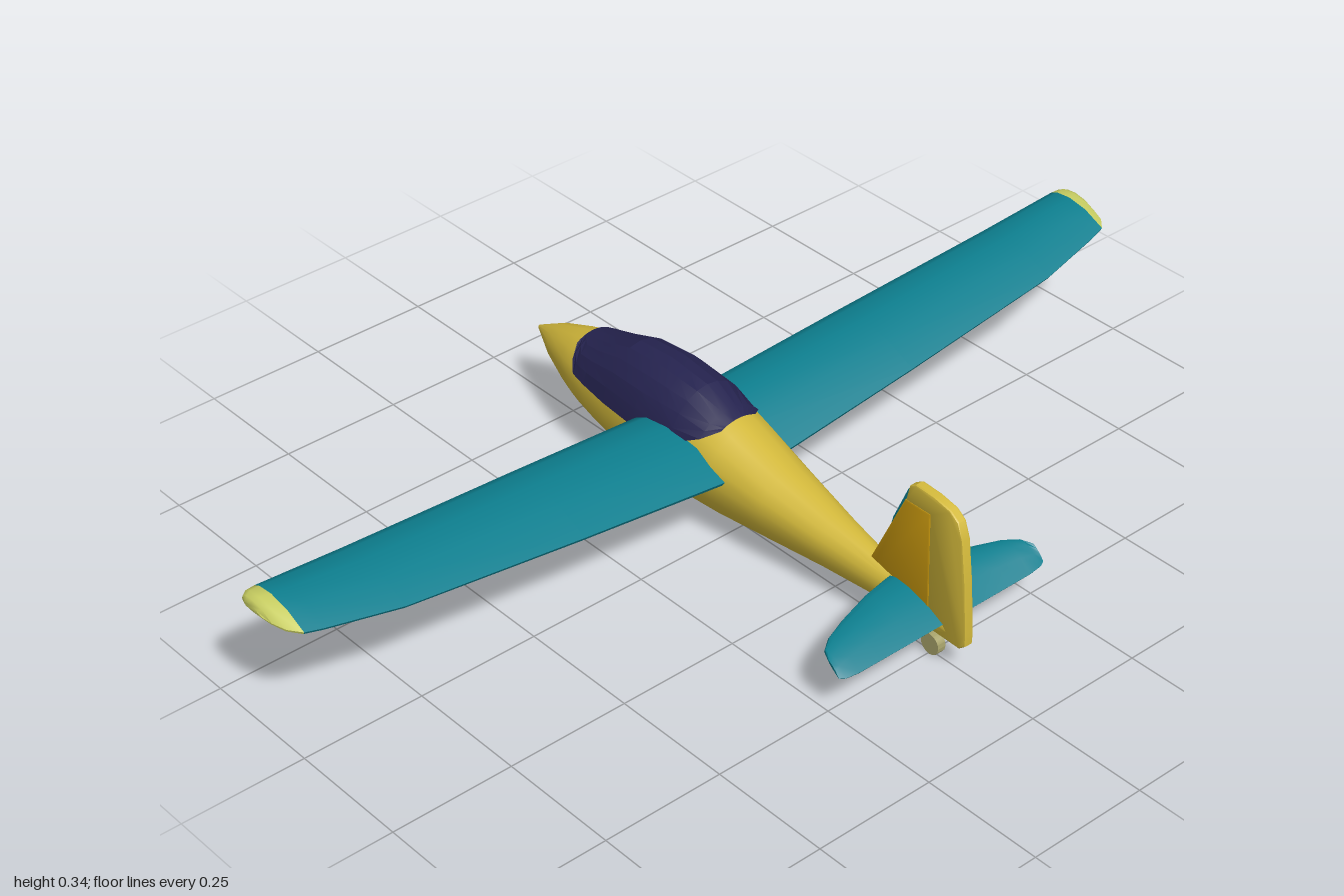
import * as THREE from 'three';
import { toCreasedNormals } from 'three/addons/utils/BufferGeometryUtils.js';

const mat = (name, color, side = THREE.FrontSide) => {
  const m = new THREE.MeshStandardMaterial({ color, side });
  m.name = name;
  return m;
};

// Skin a list of rings (arrays of [x, y, z]); closed rings get end caps
function loft(rings, closed = true, crease = 0.6) {
  const n = rings[0].length, pos = rings.flat(2), idx = [];
  for (let i = 0; i < rings.length - 1; i++) {
    for (let j = 0; j < (closed ? n : n - 1); j++) {
      const k = (j + 1) % n, a = i * n + j, b = i * n + k;
      idx.push(a, a + n, b, b, a + n, b + n);
    }
  }
  if (closed) {
    for (const r of [0, rings.length - 1]) {
      const c = pos.length / 3;
      for (let d = 0; d < 3; d++) pos.push(rings[r].reduce((s, p) => s + p[d], 0) / n);
      for (let j = 0; j < n; j++) {
        const a = r * n + j, b = r * n + (j + 1) % n;
        idx.push(c, ...(r === 0 ? [a, b] : [b, a]));
      }
    }
  }
  const g = new THREE.BufferGeometry();
  g.setAttribute('position', new THREE.Float32BufferAttribute(pos, 3));
  g.setIndex(idx);
  return toCreasedNormals(g, crease);
}

// Fuselage stations: x, bottom, widest height, top, half width
const BODY = [
  [-0.595, 0.146, 0.15, 0.154, 0.004],
  [-0.53, 0.108, 0.15, 0.187, 0.036],
  [-0.46, 0.074, 0.15, 0.211, 0.06],
  [-0.42, 0.064, 0.149, 0.222, 0.072],
  [-0.36, 0.053, 0.147, 0.238, 0.084],
  [-0.29, 0.042, 0.145, 0.264, 0.093],
  [-0.2, 0.029, 0.143, 0.272, 0.099],
  [-0.1, 0.024, 0.141, 0.262, 0.097],
  [0, 0.026, 0.138, 0.224, 0.088],
  [0.12, 0.034, 0.127, 0.186, 0.069],
  [0.25, 0.044, 0.112, 0.156, 0.048],
  [0.38, 0.05, 0.096, 0.13, 0.029],
  [0.5, 0.054, 0.08, 0.105, 0.015],
  [0.575, 0.056, 0.07, 0.085, 0.007],
];

function lerpTable(table, x) {
  let i = 0;
  while (i < table.length - 2 && x > table[i + 1][0]) i++;
  const t = (x - table[i][0]) / (table[i + 1][0] - table[i][0]);
  return table[i].map((v, k) => v + (table[i + 1][k] - v) * t);
}

function bodyPoint(x, angle, grow = 0) {
  const [, bottom, mid, top, w] = lerpTable(BODY, x);
  const s = Math.sin(angle);
  return [x, mid + s * (s > 0 ? top - mid + grow : mid - bottom + grow), Math.cos(angle) * (w + grow)];
}

// Canopy lower edge: x, y
const SILL = [[-0.43, 0.208], [-0.4, 0.171], [-0.2, 0.168], [-0.1, 0.178], [-0.04, 0.205], [-0.015, 0.22]];

function canopyRing(x) {
  const [, , mid, top] = lerpTable(BODY, x);
  const start = Math.asin(Math.min(0.98, (lerpTable(SILL, x)[1] - mid) / (top - mid)));
  const ring = [];
  for (let j = 0; j <= 10; j++) ring.push(bodyPoint(x, start + (Math.PI - 2 * start) * j / 10, 0.004));
  return ring;
}

// Aerofoil outline, from nose over the top to the tail and back underneath
const FOIL = [[0, 0.45], [0.04, 0.72], [0.15, 0.92], [0.38, 1], [0.68, 0.8], [1, 0.25],
  [0.98, 0.12], [0.68, 0.04], [0.35, 0], [0.1, 0.12], [0.02, 0.28]];

// Stations: z, leading x, trailing x, bottom y, thickness; drop lowers the tail edge
function wingGeometry(stations, side, drop) {
  const rings = stations.map(([z, lead, trail, y, t]) =>
    FOIL.map(([u, v]) => [lead + (trail - lead) * u, y + v * t - drop * u, z * side]));
  return loft(side > 0 ? rings : rings.reverse(), true, 0.7);
}

const WING = [[0.04, -0.206, 0.037, 0.134, 0.066], [0.4, -0.192, 0.03, 0.172, 0.056],
  [0.78, -0.174, 0.016, 0.212, 0.045], [0.93, -0.167, -0.01, 0.229, 0.041], [0.965, -0.165, -0.018, 0.234, 0.039]];
const TIP = [[0.965, -0.165, -0.018, 0.234, 0.039], [0.985, -0.162, -0.04, 0.238, 0.034],
  [0.995, -0.154, -0.068, 0.243, 0.024], [1, -0.14, -0.09, 0.249, 0.01]];
const TAIL = [[0, 0.395, 0.535, 0.1, 0.028], [0.08, 0.41, 0.535, 0.1, 0.027], [0.16, 0.435, 0.535, 0.101, 0.025],
  [0.21, 0.455, 0.535, 0.102, 0.022], [0.238, 0.475, 0.532, 0.104, 0.017], [0.25, 0.498, 0.526, 0.108, 0.007]];

// Upright plate with softened edges
function plate(points, thick) {
  const shape = new THREE.Shape(points.map(p => new THREE.Vector2(...p)));
  const bevel = 0.004;
  const g = new THREE.ExtrudeGeometry(shape, {
    depth: thick - 2 * bevel, bevelThickness: bevel, bevelSize: bevel, bevelOffset: -bevel, bevelSegments: 2,
  });
  g.translate(0, 0, bevel - thick / 2);
  return toCreasedNormals(g, 0.6);
}

export function createModel() {
  const yellow = mat('body yellow', 0xd3b93b);
  const amber = mat('fin amber', 0xc8980f);
  const teal = mat('wing teal', 0x0d7f8f);
  const navy = mat('canopy navy', 0x25234f, THREE.DoubleSide);
  const lime = mat('wing tip pale yellow', 0xc9cf62);
  const beige = mat('wheel beige', 0xa9a46c);

  const model = new THREE.Group();
  model.name = 'glider';
  const add = (name, geometry, material, parent = model) => {
    const m = new THREE.Mesh(geometry, material);
    m.name = name;
    parent.add(m);
    return m;
  };

  // Fuselage and canopy
  add('fuselage', loft(BODY.map(([x]) =>
    Array.from({ length: 16 }, (_, j) => bodyPoint(x, j / 16 * Math.PI * 2)))), yellow);
  add('canopy', loft([-0.43, -0.415, -0.4, -0.36, -0.29, -0.2, -0.15, -0.1, -0.04, -0.015].map(canopyRing), false, 0.25), navy);

  // Wings and tailplane, one half per side
  for (const [side, label] of [[1, 'left'], [-1, 'right']]) {
    add(label + 'Wing', wingGeometry(WING, side, 0), teal);
    add(label + 'WingTip', wingGeometry(TIP, side, 0), lime);
    add(label + 'Tailplane', wingGeometry(TAIL, side, 0.022), teal);
  }

  // Fin, its leading strip and the rudder
  add('fin', plate([[0.35, 0.1], [0.5, 0.085], [0.494, 0.302], [0.432, 0.302], [0.35, 0.13]], 0.024), amber);
  add('finLeadingEdge', plate([[0.392, 0.21], [0.44, 0.3], [0.445, 0.33], [0.434, 0.322], [0.4, 0.245]], 0.018), teal);
  add('rudder', plate([[0.492, 0.056], [0.575, 0.054], [0.589, 0.066], [0.59, 0.09], [0.582, 0.2], [0.572, 0.285],
    [0.56, 0.318], [0.54, 0.333], [0.5, 0.341], [0.455, 0.343], [0.44, 0.333], [0.432, 0.298], [0.492, 0.298]], 0.021), yellow);

  // Tail wheel on a short strut
  const gear = new THREE.Group();
  gear.name = 'tailWheel';
  model.add(gear);
  const wheel = add('wheel', toCreasedNormals(new THREE.CylinderGeometry(0.022, 0.022, 0.018, 16), 0.6), beige, gear);
  wheel.rotation.x = Math.PI / 2;
  wheel.position.set(0.503, 0.022, 0);
  const strut = add('strut', new THREE.CylinderGeometry(0.005, 0.006, 0.045, 8), beige, gear);
  strut.position.set(0.491, 0.045, 0);
  strut.rotation.z = 0.3;

  return model;
}
